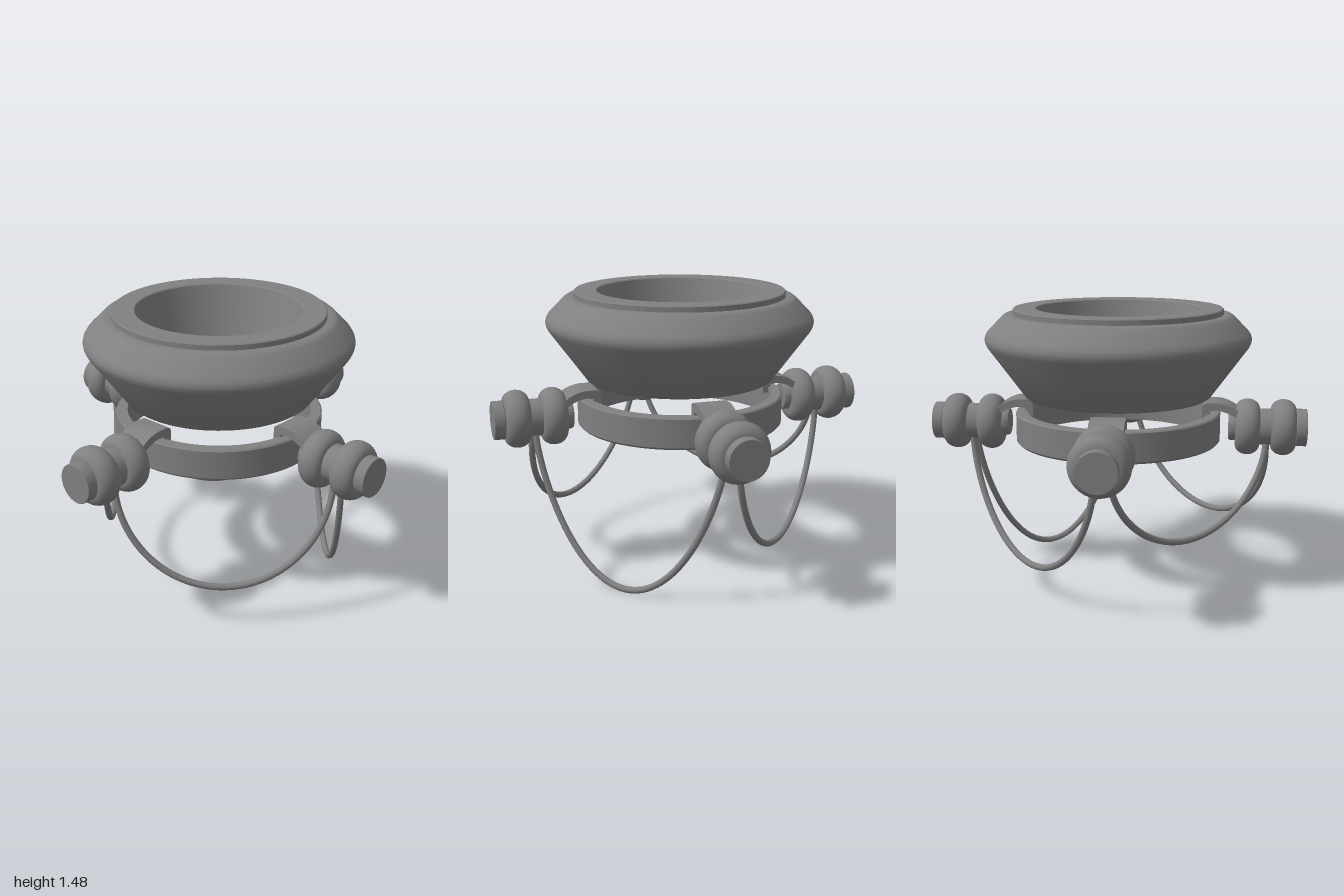
import * as THREE from 'three';
import { toCreasedNormals } from 'three/addons/utils/BufferGeometryUtils.js';

const material = new THREE.MeshStandardMaterial({ color: 0x808080, side: THREE.DoubleSide });

function addMesh(parent, name, geometry) {
  const mesh = new THREE.Mesh(geometry, material);
  mesh.name = name;
  parent.add(mesh);
  return mesh;
}

// Turned solid from [radius, height] pairs, with crisp corners
function turned(profile, segments) {
  const points = profile.map(([r, y]) => new THREE.Vector2(r, y));
  return toCreasedNormals(new THREE.LatheGeometry(points, segments), 0.5);
}

// Rounded bulge in a profile, centred at height c
function bulge(c, neck, peak, half) {
  const points = [];
  for (let i = 0; i <= 14; i++) {
    const a = -Math.PI / 2 + (Math.PI * i) / 14;
    points.push([neck + (peak - neck) * Math.cos(a), c + half * Math.sin(a)]);
  }
  return points;
}

function insulatorGeometry() {
  const profile = [
    [0, 0.595], [0.07, 0.595], [0.075, 0.605], [0.075, 0.63],
    ...bulge(0.695, 0.097, 0.15, 0.065),
    ...bulge(0.885, 0.097, 0.15, 0.066),
    [0.1, 0.955], [0.1, 1.006], [0.098, 1.008], [0, 1.008],
  ];
  return turned(profile, 48).rotateZ(-Math.PI / 2);
}

// Curved strap that hooks over the ring and runs out to the insulator
function strapGeometry() {
  const s = new THREE.Shape();
  s.moveTo(0.452, 0.9);
  s.lineTo(0.452, 0.96);
  s.quadraticCurveTo(0.452, 0.99, 0.485, 0.99);
  s.lineTo(0.53, 0.99);
  s.quadraticCurveTo(0.6, 0.985, 0.65, 0.94);
  s.lineTo(0.65, 0.9);
  s.quadraticCurveTo(0.59, 0.945, 0.53, 0.95);
  s.lineTo(0.495, 0.945);
  s.lineTo(0.495, 0.9);
  s.closePath();
  const width = 0.175;
  const g = new THREE.ExtrudeGeometry(s, { depth: width, bevelEnabled: false, curveSegments: 10 });
  return toCreasedNormals(g.translate(0, 0, -width / 2), 0.5);
}

// Slack wire between two points; fullness below 1 makes a rounder loop
function wireGeometry(from, to, low, fullness, bow) {
  const out = from.clone().add(to).setY(0).normalize();
  const points = [];
  for (let i = 0; i <= 28; i++) {
    const t = (1 - Math.cos((Math.PI * i) / 28)) / 2;
    const hang = Math.pow(Math.max(0, 4 * t * (1 - t)), fullness);
    const p = from.clone().lerp(to, t).addScaledVector(out, bow * hang);
    p.y -= (from.y - low) * hang;
    points.push(p);
  }
  return new THREE.TubeGeometry(new THREE.CatmullRomCurve3(points), 90, 0.017, 10);
}

// Point on the underside of an insulator neck, shifted sideways
function neckPoint(angle, side) {
  return new THREE.Vector3(0.795, 0.785, side).applyAxisAngle(new THREE.Vector3(0, 1, 0), angle);
}

export function createModel() {
  const model = new THREE.Group();
  model.name = 'bowlOnWiredRing';

  // Thick open bowl with raised rim
  addMesh(model, 'bowl', turned([
    [0.318, 1.03], [0.33, 1.01], [0.488, 1.01], [0.5, 1.018], [0.692, 1.283], [0.702, 1.303],
    [0.705, 1.322], [0.7, 1.342], [0.687, 1.362], [0.612, 1.437], [0.6, 1.446],
    [0.585, 1.45], [0.555, 1.45], [0.555, 1.475], [0.55, 1.48], [0.437, 1.48],
    [0.432, 1.475], [0.318, 1.03],
  ], 96));

  // Support ring
  addMesh(model, 'supportRing', turned([
    [0.49, 0.765], [0.538, 0.765], [0.55, 0.777], [0.55, 0.923], [0.543, 0.93],
    [0.49, 0.93], [0.49, 0.765],
  ], 96));

  // Four insulators with their straps, and the wires hanging between them
  const insulator = insulatorGeometry();
  const strap = strapGeometry();
  // Lowest height, fullness and outward bow of each wire
  const wires = [[0.02, 0.72, 0.03], [0.24, 0.52, 0.11], [0.348, 0.56, 0], [0.18, 0.58, 0]];
  wires.forEach(([low, fullness, bow], i) => {
    const angle = Math.PI / 12 - (i * Math.PI) / 2;
    const arm = new THREE.Group();
    arm.name = 'insulatorArm' + (i + 1);
    arm.rotation.y = angle;
    addMesh(arm, 'insulator', insulator).position.y = 0.85;
    addMesh(arm, 'strap', strap);
    model.add(arm);
    const from = neckPoint(angle, 0.035);
    const to = neckPoint(angle - Math.PI / 2, -0.035);
    addMesh(model, 'hangingWire' + (i + 1), wireGeometry(from, to, low, fullness, bow));
  });

  return model;
}
